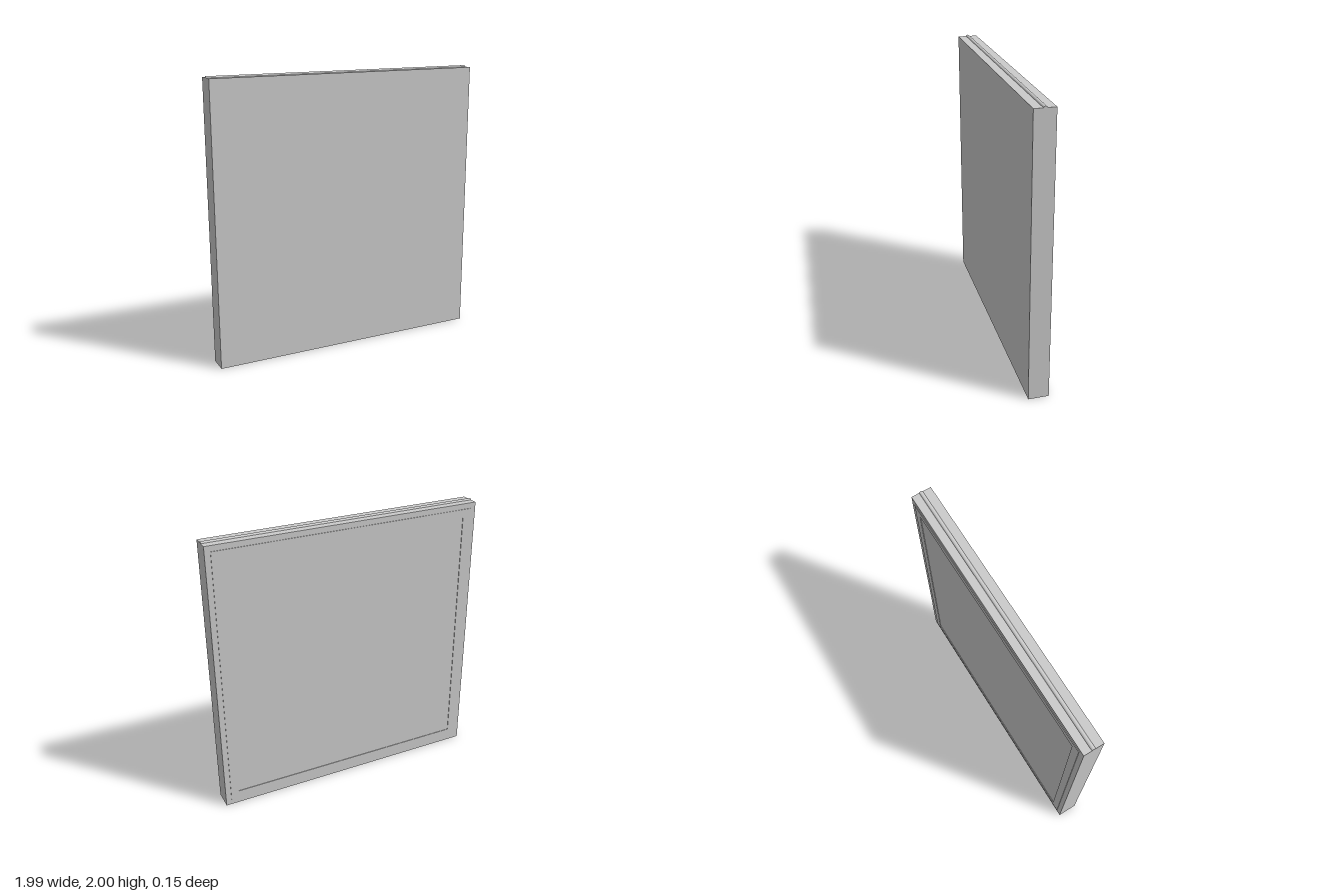
import * as THREE from 'three';

const WIDTH = 1.99, HEIGHT = 1.99;
const FRONT = 0.073, BACK = -0.069, RIM_BACK = -0.073;

function squarePath(PathType, half) {
  const p = new PathType();
  p.moveTo(-half, -half);
  p.lineTo(half, -half);
  p.lineTo(half, half);
  p.lineTo(-half, half);
  p.closePath();
  return p;
}

export function createModel() {
  const model = new THREE.Group();
  model.name = 'squarePanel';
  const material = new THREE.MeshStandardMaterial({ color: 0xcccccc });

  function add(name, geometry, x, y, z) {
    const mesh = new THREE.Mesh(geometry, material);
    mesh.name = name;
    mesh.position.set(x, y, z);
    model.add(mesh);
    return mesh;
  }

  // Flat square slab
  add('panel', new THREE.BoxGeometry(WIDTH, HEIGHT, FRONT - BACK), 0, HEIGHT / 2, (FRONT + BACK) / 2);

  // Thin raised border on the back, set in from the edges
  const rim = squarePath(THREE.Shape, WIDTH / 2 - 0.04);
  rim.holes.push(squarePath(THREE.Path, WIDTH / 2 - 0.1));
  const rimGeometry = new THREE.ExtrudeGeometry(rim, { depth: BACK - RIM_BACK, bevelEnabled: false });
  add('backRim', rimGeometry, 0, HEIGHT / 2, RIM_BACK);

  // Low rounded bead along the middle of the top edge, half sunk into the slab
  const bead = new THREE.CylinderGeometry(0.014, 0.014, WIDTH, 20);
  bead.rotateZ(Math.PI / 2);
  add('topBead', bead, 0, 2 - 0.014, 0);

  return model;
}
